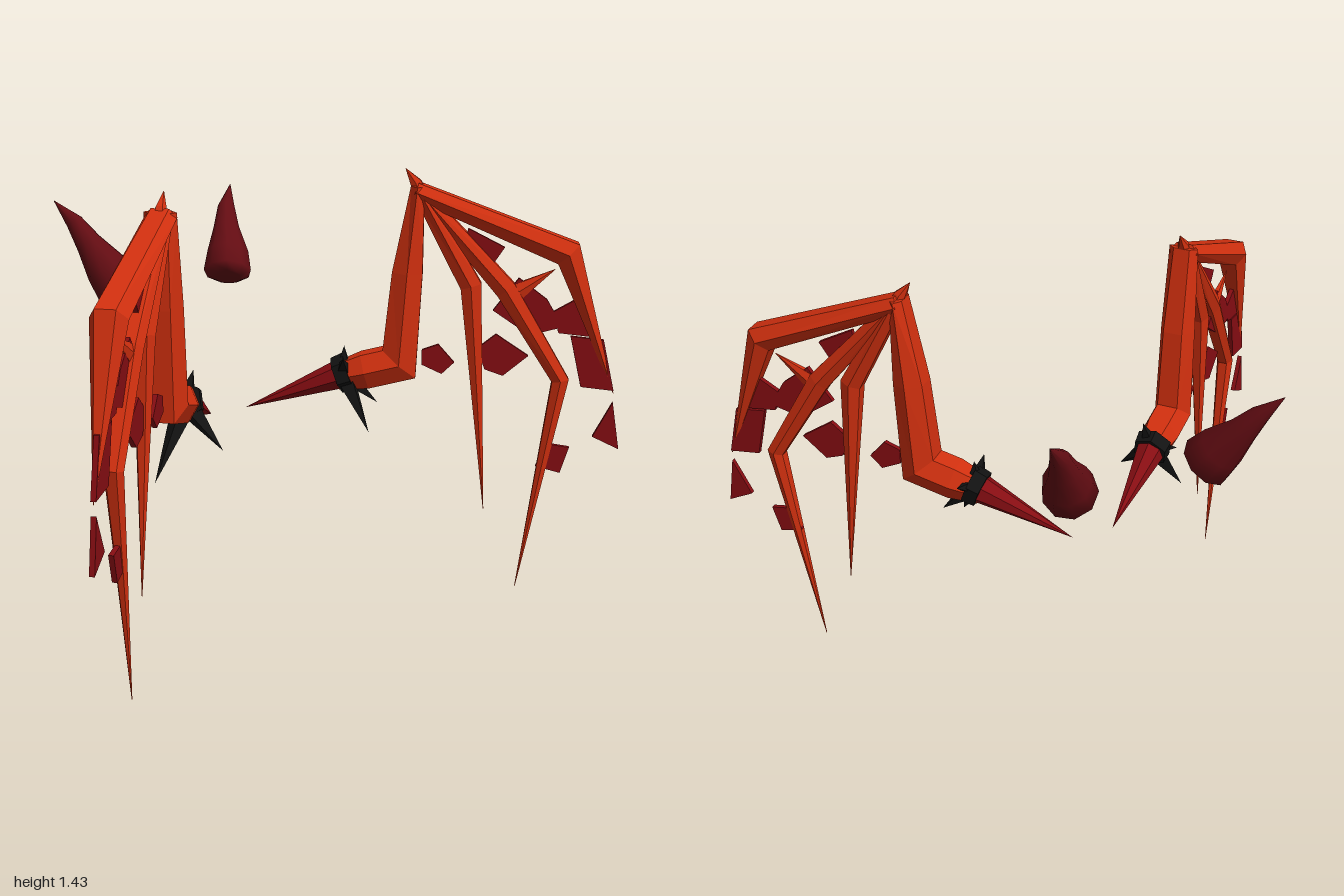
import * as THREE from 'three';

const mat = (name, color, flatShading = true) => {
  const m = new THREE.MeshStandardMaterial({ color, flatShading });
  m.name = name;
  return m;
};
const V = (x, y, z = 0) => new THREE.Vector3(x, y, z);
const K = 1.345; // front-view x to distance along the wing plane

// Skin a list of equal-length rings, closing both ends
function loft(rings) {
  const n = rings[0].length, pos = [], idx = [];
  rings.forEach(r => r.forEach(p => pos.push(p.x, p.y, p.z)));
  for (let i = 0; i < rings.length - 1; i++) {
    for (let k = 0; k < n; k++) {
      const a = i * n + k, b = i * n + (k + 1) % n;
      idx.push(a, b, a + n, b, b + n, a + n);
    }
  }
  const last = (rings.length - 1) * n;
  for (let k = 1; k < n - 1; k++) idx.push(0, k + 1, k, last, last + k, last + k + 1);
  const g = new THREE.BufferGeometry();
  g.setAttribute('position', new THREE.Float32BufferAttribute(pos, 3));
  g.setIndex(idx);
  g.computeVertexNormals();
  return g;
}

// Six-sided bone in the wing plane; each point is [x, y, half width, half thickness]
const SECTION = [[1, -0.55], [1, 0.55], [0, 1], [-1, 0.55], [-1, -0.55], [0, -1]];
function bone(points) {
  const c = points.map(p => new THREE.Vector2(p[0] * K, p[1]));
  const rings = points.map(([, , w, t], i) => {
    const before = c[i].clone().sub(c[Math.max(i - 1, 0)]).normalize();
    const after = c[Math.min(i + 1, c.length - 1)].clone().sub(c[i]).normalize();
    const d = before.clone().add(after).normalize();
    const mitre = w / Math.max(0.6, d.dot(i ? before : after));
    return SECTION.map(([a, b]) => V(c[i].x - d.y * a * mitre, c[i].y + d.x * a * mitre, b * t));
  });
  return loft(rings);
}

// Pointed cone from a base centre to a tip
function thorn(from, to, r, sides) {
  const d = to.clone().sub(from), h = d.length();
  const g = new THREE.ConeGeometry(r, h, sides);
  g.translate(0, h / 2, 0);
  g.applyQuaternion(new THREE.Quaternion().setFromUnitVectors(V(0, 1, 0), d.normalize()));
  return g.translate(from.x, from.y, from.z);
}

export function createModel() {
  const red = mat('wing orange red', 0xd2300f);
  const crimson = mat('membrane crimson', 0x860d12);
  const maroon = mat('horn maroon', 0x640d13, false);
  const black = mat('claw black', 0x121212);

  const add = (parent, name, geometry, material) => {
    const m = new THREE.Mesh(geometry, material);
    m.name = name;
    parent.add(m);
  };

  const bones = {
    arm: [[0.3, 0.74, 0.042, 0.045], [0.37, 0.765, 0.058, 0.065], [0.455, 0.795, 0.058, 0.065],
      [0.47, 1.1, 0.05, 0.06], [0.49, 1.385, 0.022, 0.05]],
    apexThorn: [[0.495, 1.36, 0.025, 0.025], [0.485, 1.395, 0.018, 0.018], [0.46, 1.44, 0.001, 0.001]],
    outerFinger: [[0.485, 1.37, 0.028, 0.05], [0.855, 1.175, 0.042, 0.056], [0.98, 0.71, 0.001, 0.001]],
    middleFinger: [[0.5, 1.36, 0.022, 0.035], [0.71, 1.05, 0.034, 0.035],
      [0.85, 0.75, 0.026, 0.03], [0.762, 0.015, 0.001, 0.001]],
    middleFingerThorn: [[0.71, 1.02, 0.035, 0.025], [0.825, 1.12, 0.001, 0.001]],
    innerFinger: [[0.495, 1.37, 0.024, 0.04], [0.625, 1.06, 0.034, 0.035], [0.675, 0.29, 0.001, 0.001]],
  };

  const shards = [
    [[0.614, 1.25], [0.703, 1.19], [0.66, 1.1], [0.6, 1.15]],
    [[0.887, 1.03], [0.825, 0.98], [0.84, 0.91], [0.92, 0.9]],
    [[0.95, 0.89], [0.87, 0.9], [0.9, 0.73], [0.98, 0.72]],
    [[0.77, 0.83], [0.69, 0.9], [0.645, 0.85], [0.665, 0.78], [0.71, 0.76]],
    [[0.59, 0.8], [0.55, 0.86], [0.51, 0.84], [0.51, 0.79], [0.56, 0.76]],
    [[0.74, 1.09], [0.81, 1.02], [0.85, 0.93], [0.77, 0.9], [0.68, 0.98]],
    [[0.98, 0.68], [0.935, 0.56], [1.0, 0.52]],
    [[0.88, 0.52], [0.825, 0.53], [0.8, 0.45], [0.86, 0.43]],
  ];

  // Horn centres with radii
  const horn = [[0.215, 1.005, -0.48, 0.05], [0.222, 1.02, -0.492, 0.085], [0.25, 1.08, -0.53, 0.074],
    [0.283, 1.16, -0.588, 0.046], [0.312, 1.23, -0.632, 0.03], [0.362, 1.3, -0.68, 0.001]];
  const axis = V(0.1, 0.2, -0.13).normalize();
  const across = V(1, 0, 0.77).cross(axis).normalize();
  const side = axis.clone().cross(across);
  const hornRings = horn.map(([x, y, z, r]) => Array.from({ length: 9 }, (_, k) => {
    const a = k / 9 * Math.PI * 2;
    return V(x, y, z).addScaledVector(across, r * Math.cos(a)).addScaledVector(side, r * Math.sin(a));
  }));

  const model = new THREE.Group();
  model.name = 'wingsAndHorns';
  for (const [label, s] of [['left', 1], ['right', -1]]) {
    const half = new THREE.Group();
    half.name = label + 'Half';
    half.scale.x = s;
    model.add(half);

    // Wing lying in a slanted upright plane
    const wing = new THREE.Group();
    wing.name = label + 'Wing';
    wing.rotation.y = -0.733;
    wing.position.z = -0.223;
    half.add(wing);
    for (const name in bones) add(wing, name, bone(bones[name]), red);

    // Torn membrane pieces
    shards.forEach(pts => {
      const shape = new THREE.Shape(pts.map(p => new THREE.Vector2(p[0] * K, p[1])));
      const g = new THREE.ExtrudeGeometry(shape, { depth: 0.016, bevelEnabled: false });
      add(wing, 'membraneShard', g.translate(0, 0, -0.008), crimson);
    });

    // Root spike and its collar
    const root = V(0.315, 0.75, 0.06), tip = V(0.07, 0.62, -0.16);
    add(half, 'rootSpike', thorn(root, tip, 0.052, 7), crimson);
    const collar = new THREE.CylinderGeometry(0.062, 0.066, 0.045, 6);
    collar.applyQuaternion(new THREE.Quaternion().setFromUnitVectors(V(0, 1, 0), tip.clone().sub(root).normalize()));
    add(half, 'collar', collar.translate(root.x, root.y, root.z), black);

    add(half, 'horn', loft(hornRings), maroon);
  }

  // Collar claws, splayed differently on each side
  const claws = [
    [0.31, 0.58, 0.21], [0.41, 0.65, 0.13], [0.26, 0.82, 0.13], [0.32, 0.845, 0.06], [0.4, 0.79, 0.01],
    [-0.47, 0.53, 0.13], [-0.27, 0.62, 0.21], [-0.28, 0.85, 0.06], [-0.4, 0.74, 0.04],
  ];
  claws.forEach(([x, y, z]) => {
    add(model, 'collarClaw', thorn(V(Math.sign(x) * 0.315, 0.75, 0.065), V(x, y, z), 0.04, 4), black);
  });
  return model;
}
